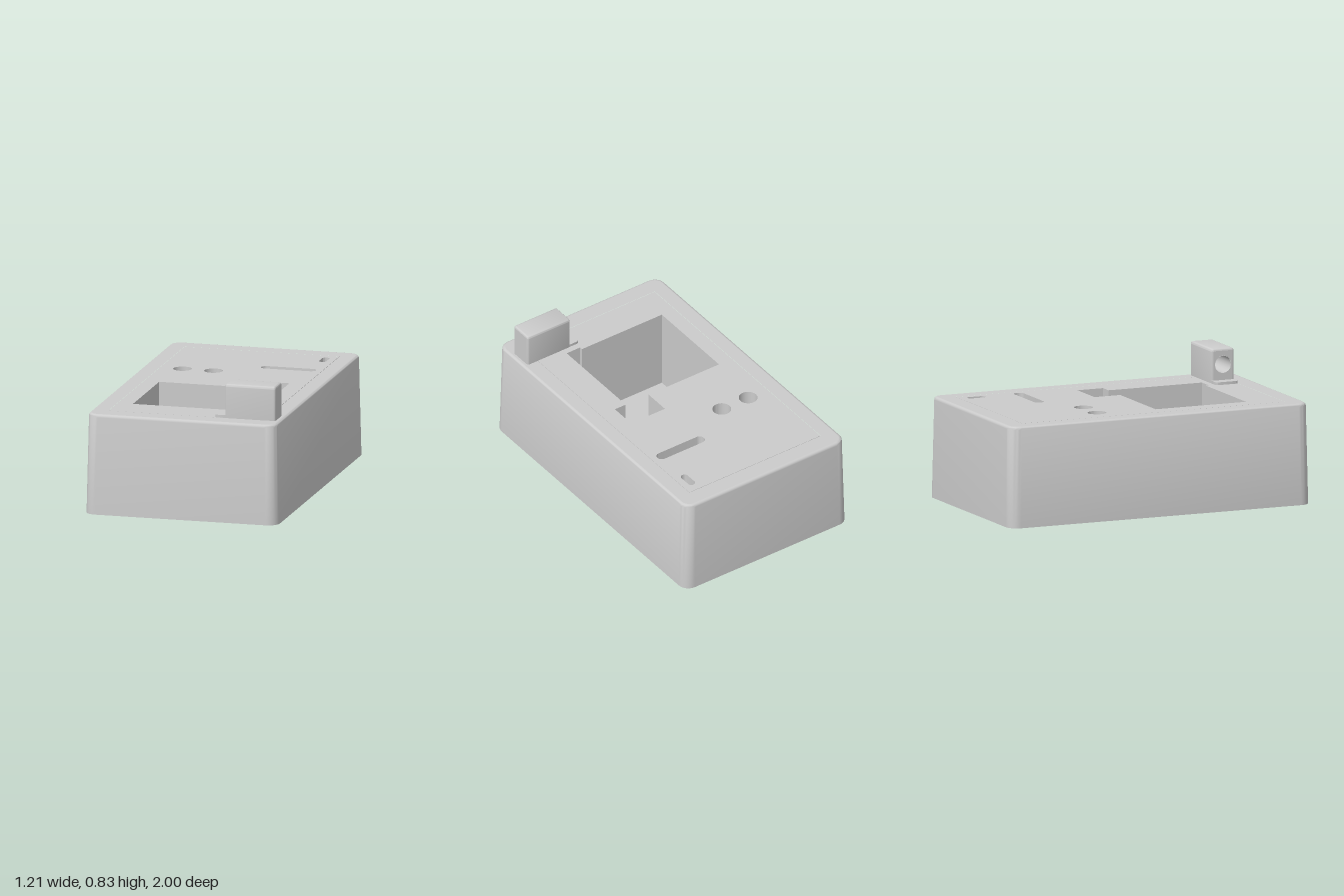
import * as THREE from 'three';
import { toCreasedNormals } from 'three/addons/utils/BufferGeometryUtils.js';

const material = new THREE.MeshStandardMaterial({ color: 0xcccccc });
const TOP = 0.62, FLOOR = 0.1;

// Counter-clockwise rounded rectangle of half sizes w, h and corner radius r
function roundedRect(w, h, r, cx = 0, cy = 0, steps = 8) {
  const points = [];
  [[1, 1], [-1, 1], [-1, -1], [1, -1]].forEach(([sx, sy], q) => {
    for (let k = 0; k <= steps; k++) {
      const a = (q + k / steps) * Math.PI / 2;
      points.push(new THREE.Vector2(cx + sx * (w - r) + r * Math.cos(a), cy + sy * (h - r) + r * Math.sin(a)));
    }
  });
  return points;
}

const rectangle = (w, h) => [[w, h], [-w, h], [-w, -h], [w, -h]].map(p => new THREE.Vector2(...p));

function circle(cx, cy, r) {
  return new THREE.Path().absarc(cx, cy, r, 0, Math.PI * 2).getPoints(20).slice(0, -1);
}

function shapeWithHoles(outline, holes = []) {
  const shape = new THREE.Shape(outline);
  shape.holes = holes.map(h => new THREE.Path(h));
  return shape;
}

// Side skin through rounded rectangles [height, halfWidth, halfDepth, radius], along +z
function loft(rings) {
  const positions = [], loops = rings.map(([, w, h, r]) => roundedRect(w, h, r));
  for (let j = 0; j + 1 < rings.length; j++) {
    const n = loops[j].length;
    for (let i = 0; i < n; i++) {
      const k = (i + 1) % n;
      const [a, b, c, d] = [[j, i], [j, k], [j + 1, k], [j + 1, i]]
        .map(([s, t]) => [loops[s][t].x, loops[s][t].y, rings[s][0]]);
      positions.push(...a, ...b, ...c, ...a, ...c, ...d);
    }
  }
  const geometry = new THREE.BufferGeometry();
  geometry.setAttribute('position', new THREE.Float32BufferAttribute(positions, 3));
  return toCreasedNormals(geometry, 0.7);
}

// Rounded edge rings ending at height top
function filletRings(top, w, h, r, fillet) {
  return [0, 1, 2, 3, 4].map(k => {
    const a = k / 4 * Math.PI / 2, inset = fillet * (1 - Math.cos(a));
    return [top - fillet + fillet * Math.sin(a), w - inset, h - inset, r - inset];
  });
}

function add(parent, name, geometry) {
  const mesh = new THREE.Mesh(geometry, material);
  mesh.name = name;
  parent.add(mesh);
  return mesh;
}

export function createModel() {
  const model = new THREE.Group();
  model.name = 'housingWithSensorBlock';

  // Housing and panel are drawn flat (x, -z) and tipped upright
  const housing = new THREE.Group();
  housing.name = 'housing';
  housing.rotation.x = -Math.PI / 2;
  model.add(housing);

  // Tapered body with a rounded top edge
  const rings = [[0, 0.605, 1, 0.07], ...filletRings(TOP, 0.592, 0.99, 0.07, 0.018)];
  add(housing, 'bodySides', loft(rings));
  const base = new THREE.ShapeGeometry(shapeWithHoles(roundedRect(0.605, 1, 0.07)));
  add(housing, 'bodyBase', base.rotateX(Math.PI));
  const rim = shapeWithHoles(roundedRect(0.574, 0.972, 0.052), [rectangle(0.487, 0.872)]);
  add(housing, 'topRim', new THREE.ShapeGeometry(rim)).position.z = TOP;

  // Inset panel with the stepped pocket, two round holes and two slots
  const pocket = [[-0.39, -0.06], [0.13, -0.06], [0.13, 0.11], [0.38, 0.11], [0.38, -0.06], [0.3, -0.06],
    [0.3, -0.68], [0.2, -0.68], [0.2, -0.66], [-0.39, -0.66]].map(p => new THREE.Vector2(...p));
  const cutouts = [
    pocket,
    circle(-0.345, 0.31, 0.057),
    circle(-0.15, 0.31, 0.057),
    roundedRect(0.171, 0.032, 0.03, 0.274, 0.48),
    roundedRect(0.023, 0.058, 0.0225, 0.42, 0.763),
  ];
  const panel = new THREE.ExtrudeGeometry(shapeWithHoles(rectangle(0.485, 0.87), cutouts),
    { depth: TOP - FLOOR, bevelEnabled: false });
  add(housing, 'insetPanel', toCreasedNormals(panel, 0.7)).position.z = FLOOR;
  add(housing, 'pocketFloor', new THREE.PlaneGeometry(0.974, 1.744)).position.z = FLOOR;

  // Thin tab beside the block
  const tab = new THREE.ExtrudeGeometry(shapeWithHoles(roundedRect(0.06, 0.074, 0.018)),
    { depth: 0.027, bevelEnabled: false });
  add(housing, 'tab', toCreasedNormals(tab, 0.7)).position.set(0.24, -0.795, 0.61);

  // Raised block, built along -x with a bore in its end
  const block = new THREE.Group();
  block.name = 'raisedBlock';
  block.rotation.y = -Math.PI / 2;
  block.position.set(0.56, 0.715, 0.795);
  model.add(block);
  const length = 0.316, w = 0.075, h = 0.115, r = 0.017, fillet = 0.013;
  const end = filletRings(length, w, h, r, fillet);
  const start = end.map(([z, ...rest]) => [length - z, ...rest]).reverse();
  add(block, 'blockSides', loft([...start, ...end]));
  const face = roundedRect(w - fillet, h - fillet, r - fillet);
  add(block, 'blockBack', new THREE.ShapeGeometry(shapeWithHoles(face)).rotateY(Math.PI));
  const bore = circle(0, 0.018, 0.053);
  add(block, 'blockFront', new THREE.ShapeGeometry(shapeWithHoles(face, [bore]))).position.z = length;

  // Bore wall faces inward, closed by a disc
  const depth = 0.22;
  const wall = new THREE.CylinderGeometry(0.053, 0.053, depth, 20, 1, true).rotateX(Math.PI / 2);
  const boreWall = add(block, 'boreWall', wall);
  boreWall.material = material.clone();
  boreWall.material.side = THREE.DoubleSide;
  boreWall.position.set(0, 0.018, length - depth / 2);
  add(block, 'boreEnd', new THREE.CircleGeometry(0.053, 20)).position.set(0, 0.018, length - depth);

  return model;
}
